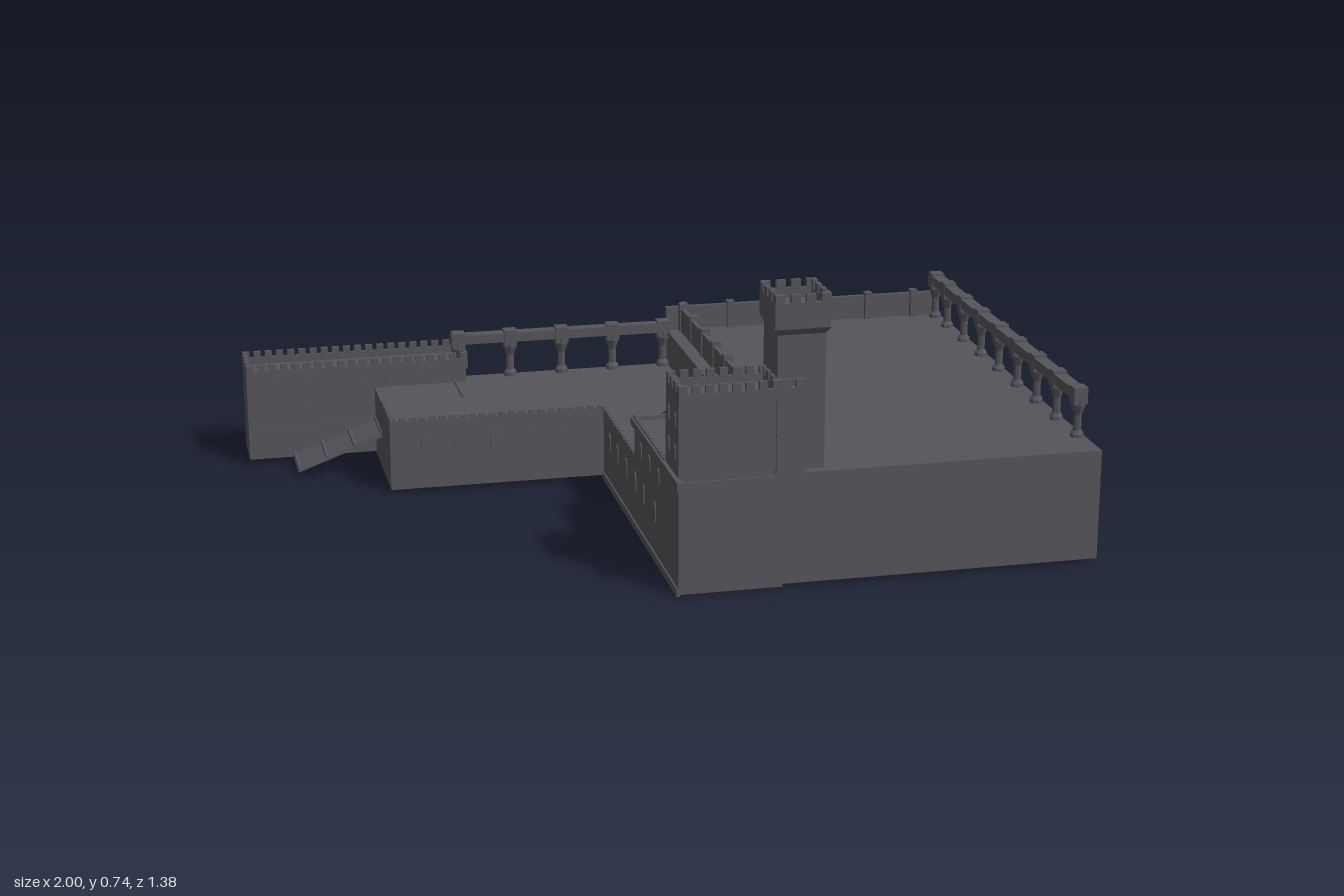
import * as THREE from 'three';

const stone = new THREE.MeshStandardMaterial({ color: 0x55545a, side: THREE.DoubleSide, flatShading: true });
stone.name = 'greyStone';

export function createModel() {
  const root = new THREE.Group();
  root.name = 'fortress';

  const add = (name, geo, x = 0, y = 0, z = 0, parent = root) => {
    const m = new THREE.Mesh(geo, stone);
    m.name = name;
    m.position.set(x, y, z);
    parent.add(m);
    return m;
  };
  const group = (name) => {
    const g = new THREE.Group();
    g.name = name;
    root.add(g);
    return g;
  };
  // Box given by its extents
  const box = (name, x0, x1, y0, y1, z0, z1, parent = root) =>
    add(name, new THREE.BoxGeometry(x1 - x0, y1 - y0, z1 - z0), (x0 + x1) / 2, (y0 + y1) / 2, (z0 + z1) / 2, parent);

  // Hollow block, open below: walls around an outline of [x, z] plus a flat top
  const shell = (name, pts, y0, y1) => {
    const g = group(name);
    pts.forEach(([ax, az], i) => {
      const [bx, bz] = pts[(i + 1) % pts.length];
      const wall = add(name + 'Wall', new THREE.PlaneGeometry(Math.hypot(bx - ax, bz - az), y1 - y0),
        (ax + bx) / 2, (y0 + y1) / 2, (az + bz) / 2, g);
      wall.rotation.y = Math.atan2(az - bz, bx - ax);
    });
    const top = new THREE.ShapeGeometry(new THREE.Shape(pts.map(([x, z]) => new THREE.Vector2(x, -z))));
    add(name + 'Top', top.rotateX(-Math.PI / 2), 0, y1, 0, g);
    return g;
  };
  const rect = (x0, x1, z0, z1) => [[x0, z1], [x1, z1], [x1, z0], [x0, z0]];

  // Row of merlons along a straight edge
  const merlons = (parent, x0, z0, x1, z1, y, h, n, t = 0.012) => {
    const len = Math.hypot(x1 - x0, z1 - z0) / (n * 1.6 - 0.6);
    const alongX = Math.abs(x1 - x0) > Math.abs(z1 - z0);
    const span = alongX ? x1 - x0 : z1 - z0;
    for (let i = 0; i < n; i++) {
      const d = len / 2 + i * (span - len) / (n - 1);
      add('merlon', new THREE.BoxGeometry(alongX ? len : t, h, alongX ? t : len),
        alongX ? x0 + d : x0, y + h / 2, alongX ? z0 : z0 + d, parent);
    }
  };
  // Parapet walls with merlons on all four sides
  const crown = (name, x0, x1, z0, z1, y0, y1, y2, nx, nz) => {
    const g = group(name), t = 0.012, k = t / 2;
    for (const z of [z0 + k, z1 - k]) {
      box('parapet', x0, x1, y0, y1, z - k, z + k, g);
      merlons(g, x0, z, x1, z, y1, y2 - y1, nx);
    }
    for (const x of [x0 + k, x1 - k]) {
      box('parapet', x - k, x + k, y0, y1, z0, z1, g);
      merlons(g, x, z0, x, z1, y1, y2 - y1, nz);
    }
  };
  // Thin arched window plate
  const win = (x, y, z, turn, w = 0.03, h = 0.05) => {
    const s = new THREE.Shape();
    s.moveTo(-w / 2, -h / 2);
    s.lineTo(w / 2, -h / 2);
    s.lineTo(w / 2, h / 2 - w / 2);
    s.absarc(0, h / 2 - w / 2, w / 2, 0, Math.PI, false);
    const geo = new THREE.ExtrudeGeometry(s, { depth: 0.006, bevelEnabled: false, curveSegments: 6 });
    geo.translate(0, 0, -0.003);
    add('window', geo, x, y, z, windows).rotation.y = turn;
  };
  const windows = group('windows');
  const side = Math.PI / 2;

  // High terrace, raised forecourt and low courtyard
  shell('terrace', rect(0.19, 1, -0.625, 0.66), 0.012, 0.295);
  shell('forecourt', rect(-0.07, 0.19, 0.16, 0.66), 0.005, 0.29);
  shell('courtyard', [[-0.65, -0.23], [-0.07, -0.23], [-0.07, 0.16], [0.19, 0.16], [0.19, -0.605], [-0.65, -0.605]], 0.01, 0.2);
  box('westPlinth', -0.074, -0.066, 0, 0.02, -0.23, 0.66);
  box('westCornice', -0.08, -0.066, 0.28, 0.3, 0.16, 0.685);
  const edge = group('edgeTeeth');
  merlons(edge, -0.07, 0.16, -0.07, 0.52, 0.295, 0.012, 14, 0.01);
  merlons(edge, -0.07, -0.23, -0.07, 0.16, 0.2, 0.008, 14, 0.01);
  merlons(edge, -0.65, -0.235, -0.07, -0.235, 0.2, 0.008, 22, 0.01);
  merlons(edge, -0.645, -0.41, -0.645, -0.23, 0.2, 0.008, 7, 0.01);
  for (const z of [0.4, 0.27, 0.17, 0.06, -0.05, -0.15]) win(-0.07, 0.13, z, side);
  for (const z of [0.24, 0.34, 0.44]) win(-0.07, 0.235, z, side, 0.025, 0.04);
  for (let i = 0; i < 5; i++) win(-0.18 - i * 0.093, 0.13, -0.23, 0);

  // Sloping wedge, profile of [along, height] points pushed sideways
  const wedge = (name, pts, depth) => {
    const s = new THREE.Shape(pts.map(([a, b]) => new THREE.Vector2(a, b)));
    return add(name, new THREE.ExtrudeGeometry(s, { depth, bevelEnabled: false }));
  };
  // Inner stair up to the forecourt
  const stair = wedge('innerRamp', [[-0.08, 0.2], [0.16, 0.2], [0.16, 0.29], [0.12, 0.29]], 0.13);
  stair.rotation.y = -side;
  stair.position.x = 0.19;
  for (const x of [0.065, 0.195]) {
    const rail = wedge('rampRail', [[-0.1, 0.2], [0.2, 0.2], [0.2, 0.315], [0.12, 0.315], [-0.1, 0.215]], 0.01);
    rail.rotation.y = -side;
    rail.position.x = x;
  }
  box('forecourtStep', -0.07, 0.06, 0.28, 0.3, 0.153, 0.165);

  // Outer ramp beside the gatehouse, with cross ribs
  wedge('outerRamp', [[-0.88, 0.015], [-0.42, 0.185], [-0.42, 0.2], [-0.88, 0.02]], 0.14).position.z = -0.55;
  for (let i = 0; i < 7; i++) {
    const x = -0.875 + i * 0.075;
    box('rampRib', x - 0.004, x + 0.004, 0.018 + i * 0.0295, 0.03 + i * 0.0295, -0.55, -0.41);
  }

  // Gatehouse block
  shell('gatehouse', rect(-1, -0.395, -0.685, -0.55), 0.015, 0.25);
  crown('gatehouseCrown', -1, -0.39, -0.69, -0.545, 0.24, 0.268, 0.285, 20, 5);
  box('gatehouseCourse', -1, -0.392, 0.1, 0.105, -0.688, -0.547);
  for (let i = 0; i < 7; i++) {
    const x = -0.92 + i * 0.077;
    for (const y of i < 3 ? [0.16, 0.22] : [0.22]) win(x, y, -0.55, 0, 0.014, 0.02);
  }

  // Keep with front screen wall
  shell('keep', rect(-0.07, 0.18, 0.52, 0.655), 0.29, 0.49);
  crown('keepCrown', -0.07, 0.18, 0.52, 0.66, 0.48, 0.51, 0.53, 8, 4);
  box('screenWall', 0.17, 0.24, 0.29, 0.51, 0.642, 0.66);
  merlons(edge, 0.18, 0.654, 0.24, 0.654, 0.51, 0.02, 2);
  for (const y of [0.36, 0.44]) {
    for (const z of [0.555, 0.62]) win(-0.07, y, z, side, 0.02, 0.035);
    for (const x of [-0.01, 0.06, 0.13]) win(x, y, 0.52, 0, 0.02, 0.035);
  }

  // Tall tower with corbelled head
  box('towerShaft', 0.175, 0.295, 0.28, 0.64, 0.51, 0.638);
  const corbel = new THREE.CylinderGeometry(0.075 * Math.SQRT2, 0.062 * Math.SQRT2, 0.02, 4, 1);
  corbel.rotateY(Math.PI / 4).scale(0.93, 1, 1);
  add('towerCorbel', corbel, 0.235, 0.642, 0.574);
  box('towerHead', 0.166, 0.304, 0.65, 0.69, 0.5, 0.648);
  crown('towerCrown', 0.166, 0.304, 0.5, 0.648, 0.69, 0.715, 0.735, 4, 4);
  win(0.235, 0.55, 0.51, 0, 0.02, 0.04);
  win(0.295, 0.55, 0.574, side, 0.02, 0.04);

  // Colonnades: turned pillars below a straight beam
  const profile = [[0.018, 0], [0.018, 0.01], [0.011, 0.02], [0.011, 0.06], [0.02, 0.085], [0.02, 0.105]]
    .map(([r, y]) => new THREE.Vector2(r, y));
  const pillarGeo = new THREE.LatheGeometry(profile, 8);
  const pillar = (g, x, y, z) => {
    add('pillar', pillarGeo, x, y, z, g);
    box('pillarCap', x - 0.018, x + 0.018, y + 0.09, y + 0.133, z - 0.018, z + 0.018, g);
  };
  const east = group('eastColonnade');
  box('eastBeam', 0.963, 0.997, 0.393, 0.42, -0.6, 0.555, east);
  for (let i = 0; i < 9; i++) pillar(east, 0.98, 0.293, i < 8 ? 0.54 - i * 0.145 : -0.582);
  const north = group('northColonnade');
  box('northBeam', -0.43, 0.19, 0.3, 0.326, -0.607, -0.573, north);
  for (let i = 0; i < 5; i++) pillar(north, -0.41 + i * 0.146, 0.2, -0.588);

  // Low terrace walls with posts
  box('northTerraceWall', 0.19, 1, 0.29, 0.362, -0.625, -0.61);
  box('westTerraceWall', 0.228, 0.24, 0.29, 0.362, -0.62, 0.18);
  box('terraceKerb', 0.186, 0.2, 0.29, 0.302, -0.62, 0.2);
  for (let i = 0; i < 6; i++) {
    const x = 0.24 + i * 0.136;
    box('northPost', x - 0.01, x + 0.01, 0.29, 0.373, -0.622, -0.598);
  }
  for (let i = 0; i < 7; i++) {
    const z = -0.6 + i * 0.128;
    box('westPost', 0.225, 0.25, 0.29, 0.373, z - 0.01, z + 0.01);
  }
  return root;
}
